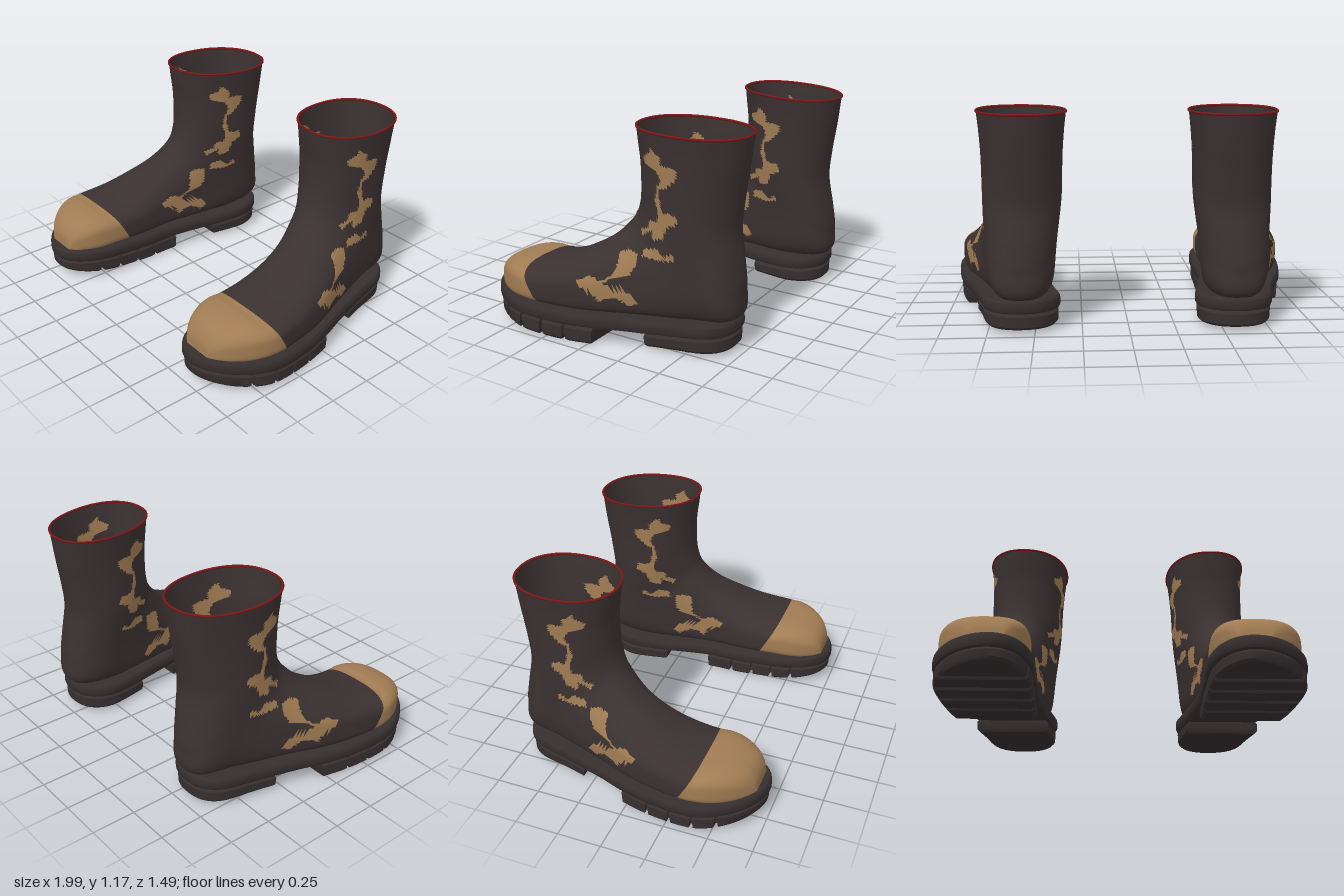
import * as THREE from 'three';
import { toCreasedNormals } from 'three/addons/utils/BufferGeometryUtils.js';

const make = (name, color) => new THREE.MeshStandardMaterial({ name, color, side: THREE.DoubleSide });
const DARK = make('dark leather', 0x3b3131);
const TAN = make('tan', 0xa17c53);
const SOLE = make('dark rubber', 0x362f30);
const RED = make('red trim', 0x7c1717);

// Smooth interpolation through rows of [key, ...values]
function curve(rows) {
  const slope = (i, k) => {
    const a = rows[Math.max(i - 1, 0)], b = rows[Math.min(i + 1, rows.length - 1)];
    return (b[k] - a[k]) / (b[0] - a[0]);
  };
  return t => {
    t = THREE.MathUtils.clamp(t, rows[0][0], rows[rows.length - 1][0]);
    let i = 0;
    while (i < rows.length - 2 && t > rows[i + 1][0]) i++;
    const p = rows[i], q = rows[i + 1], h = q[0] - p[0], u = (t - p[0]) / h;
    const u2 = u * u, u3 = u2 * u;
    return p.slice(1).map((v, n) => v * (2 * u3 - 3 * u2 + 1) + q[n + 1] * (3 * u2 - 2 * u3)
      + h * (slope(i, n + 1) * (u3 - 2 * u2 + u) + slope(i + 1, n + 1) * (u3 - u2)));
  };
}

// Plan of the foot: z, centre x, half width
const plan = curve([[-0.7, 0.575, 0.212], [-0.5, 0.58, 0.213], [-0.2, 0.645, 0.225], [0, 0.695, 0.243],
  [0.2, 0.715, 0.265], [0.4, 0.725, 0.272], [0.6, 0.70, 0.265], [0.74, 0.67, 0.25]]);
const TOE = 0.74, HEEL = -0.717;
function halfWidth(z, inset, roundHeel = true) {
  const f = Math.min(1, Math.max(0, (z - 0.38) / (TOE - inset - 0.38)));
  const b = roundHeel ? Math.min(1, Math.max(0, (-0.48 - z) / (-0.48 - HEEL - inset))) : 0;
  return (plan(z)[1] - inset) * Math.sqrt(1 - f * f) * Math.pow(1 - Math.pow(b, 2.3), 1 / 2.3);
}

// Skins closed rings listed from top to bottom; side -1 mirrors the shape
function loft(rings, side, capTop, capBottom, pick) {
  const n = rings[0].length, pos = [], faces = [[], []];
  rings.forEach(r => r.forEach(p => pos.push(p[0] * side, p[1], p[2])));
  const put = (a, b, c, row) => {
    const mid = k => (pos[a * 3 + k] + pos[b * 3 + k] + pos[c * 3 + k]) / 3;
    const m = pick && pick(row, mid(2), mid(1)) ? 1 : 0;
    faces[m].push(...(side > 0 ? [a, b, c] : [a, c, b]));
  };
  for (let r = 0; r < rings.length - 1; r++) for (let i = 0; i < n; i++) {
    const j = (i + 1) % n, a = r * n, b = a + n;
    put(a + i, b + i, b + j, r);
    put(a + i, b + j, a + j, r);
  }
  const cap = (r, up) => {
    // Bridges opposite points of the ring straight across
    for (let i = 0; i < n / 2 - 1; i++) {
      const a = r * n + i, b = a + 1, d = r * n + n - 1 - i, c = d - 1;
      up ? (put(a, b, c, r), put(a, c, d, r)) : (put(a, c, b, r), put(a, d, c, r));
    }
  };
  if (capTop) cap(0, true);
  if (capBottom) cap(rings.length - 1, false);
  const g = new THREE.BufferGeometry();
  g.setAttribute('position', new THREE.Float32BufferAttribute(pos, 3));
  g.setIndex([...faces[0], ...faces[1]]);
  g.addGroup(0, faces[0].length, 0);
  g.addGroup(faces[0].length, faces[1].length, 1);
  g.computeVertexNormals();
  return g;
}

// Upper sections: index, front edge z y, back edge z y, roundness front and back
const SECTIONS = [
  [0, 0.692, 0.20, 0.692, 0.19, 2.4, 3], [1, 0.68, 0.27, 0.685, 0.17, 2.6, 4],
  [2, 0.64, 0.325, 0.63, 0.17, 2.8, 4.5], [3, 0.56, 0.362, 0.52, 0.17, 3, 5],
  [4, 0.48, 0.375, 0.41, 0.17, 3, 5], [5, 0.41, 0.372, 0.30, 0.165, 2.9, 5],
  [6, 0.28, 0.40, 0.15, 0.16, 2.5, 5], [7, 0.16, 0.445, 0, 0.16, 2.3, 5],
  [8, 0, 0.535, -0.25, 0.16, 2.2, 4.5], [9, -0.09, 0.62, -0.5, 0.16, 2.2, 3.6],
  [10, -0.137, 0.69, -0.715, 0.19, 2.2, 2.7], [11, -0.16, 0.76, -0.735, 0.33, 2.2, 2.4],
  [12, -0.17, 0.83, -0.72, 0.47, 2.2, 2.2], [13, -0.173, 0.92, -0.69, 0.64, 2.2, 2.2],
  [14, -0.17, 1.0, -0.702, 0.80, 2.2, 2.2], [15, -0.158, 1.09, -0.728, 0.98, 2.2, 2.2],
  [16, -0.15, 1.168, -0.745, 1.145, 2.2, 2.2]];
const sectionAt = curve(SECTIONS);
const shaftWidth = curve([[0.3, 0.205], [0.6, 0.214], [0.9, 0.218], [1.05, 0.227], [1.17, 0.24]]);

function upperRing(t, n = 112) {
  const [tz, ty, bz, by, nf, nb] = sectionAt(t), ring = [];
  for (let i = 0; i < n; i++) {
    const a = i / n * Math.PI * 2, c = Math.cos(a), s = Math.sin(a), e = 2 / (c > 0 ? nf : nb);
    const k = (1 + Math.sign(c) * Math.pow(Math.abs(c), e)) / 2;
    const z = bz + (tz - bz) * k, y = by + (ty - by) * k;
    const blend = THREE.MathUtils.smoothstep(y, 0.3, 0.78);
    const w = THREE.MathUtils.lerp(halfWidth(z, 0.025, false), shaftWidth(y)[0], blend);
    const cx = THREE.MathUtils.lerp(plan(z)[0], 0.568 + 0.07 * (z + 0.45), blend);
    ring.push([cx + Math.sign(s) * w * Math.pow(Math.abs(s), e), y, z]);
  }
  return ring;
}

// Camouflage patches on the side, as z, y in hundredths
const PATCHES = [
  [-26, 103, -31, 105, -32, 108, -38, 104, -38, 100, -47, 99, -47, 95, -40, 88, -37, 88, -37, 82, -38, 76, -46, 75,
    -47, 71, -41, 68, -39, 62, -32, 60, -32, 65, -25, 61, -24, 64, -29, 66, -30, 70, -35, 70, -36, 75, -34, 81,
    -35, 88, -38, 92, -35, 97, -27, 99],
  [-28, 55, -35, 56, -39, 52, -44, 55, -44, 51, -37, 50, -27, 51],
  [-14, 51, -19, 53, -24, 52, -24, 45, -21, 40, -13, 38, -8, 35, -7, 32, -17, 33, -22, 30, -26, 26, -22, 23,
    -15, 27, -10, 27, -6, 24, -3, 29, 3, 30, 6, 35, -1, 38, -7, 36, -13, 40, -14, 46]];
function inPatch(z, y) {
  z *= 100; y *= 100;
  return PATCHES.some(p => {
    let inside = false;
    for (let i = 0, j = p.length - 2; i < p.length; j = i, i += 2) {
      if (p[i + 1] > y !== p[j + 1] > y
        && z < (p[j] - p[i]) * (y - p[i + 1]) / (p[j + 1] - p[i + 1]) + p[i]) inside = !inside;
    }
    return inside;
  });
}

// Sole heights along the foot
const step = THREE.MathUtils.smoothstep;
const weltTop = z => 0.168 + 0.032 * step(z, 0.1, 0.74) + 0.014 * step(-z, 0.3, 0.7);
const weltBottom = z => weltTop(z) - 0.078;
const ground = z => z < -0.2 ? 0.022 : 0.06 * Math.pow(Math.max(0, (z - 0.1) / 0.64), 1.6);

// Horizontal outline of the sole between two z values
function soleRing(inset, height, z0 = HEEL, z1 = TOE, n = 40) {
  const a = Math.max(z0, HEEL + inset), b = Math.min(z1, TOE - inset), ring = [];
  for (const s of [1, -1]) for (let i = 0; i <= n; i++) {
    const z = (a + b) / 2 + (b - a) / 2 * Math.cos(Math.PI * i / n) * s;
    ring.push([plan(z)[0] + s * halfWidth(z, inset), height(z), z]);
  }
  return ring;
}

function createBoot(side) {
  const boot = new THREE.Group();
  boot.name = side > 0 ? 'leftBoot' : 'rightBoot';
  const add = (name, geometry, material) => {
    const mesh = new THREE.Mesh(geometry, material);
    mesh.name = name;
    boot.add(mesh);
  };
  const addSolid = (name, rings) => {
    const g = loft(rings, side, true, true);
    g.clearGroups();
    add(name, toCreasedNormals(g, 0.6), SOLE);
  };

  // Leather upper with side patches, and tan toe cap
  const SUB = 10, shaft = [], toe = [];
  for (let i = 160; i >= 5 * SUB; i--) shaft.push(upperRing(i / SUB));
  for (let i = 5 * SUB; i >= 0; i--) toe.push(upperRing(i / SUB));
  add('upper', loft(shaft, side, false, false, (row, z, y) => inPatch(z, y)), [DARK, TAN]);
  const toeGeometry = loft(toe, side, false, true);
  toeGeometry.clearGroups();
  add('toeCap', toeGeometry, TAN);

  // Red trim around the opening
  const rim = upperRing(16, 48).map(p => new THREE.Vector3(p[0] * side, p[1], p[2]));
  add('topTrim', new THREE.TubeGeometry(new THREE.CatmullRomCurve3(rim, true), 96, 0.007, 6, true), RED);

  // Rounded welt
  addSolid('welt', [[0.05, 0], [0.012, 0], [0.002, 0.012], [0, 0.03], [0, 0.055], [0.008, 0.07], [0.035, 0.078]]
    .map(([inset, drop]) => soleRing(inset, z => weltTop(z) - drop)));

  // Recessed tread base under the forefoot
  addSolid('treadBase', [soleRing(0.03, z => weltBottom(z) + 0.01, -0.02),
    soleRing(0.03, z => ground(z) + 0.025, -0.02)]);

  // Tread lugs, front and heel
  const lugs = [[-0.025, 0.13], [0.143, 0.265], [0.278, 0.395], [0.408, 0.52], [0.533, TOE], [HEEL, -0.295]];
  lugs.forEach(([z0, z1], i) => addSolid(i < 5 ? 'treadLug' : 'heelBlock', [
    soleRing(0.03, z => weltBottom(z) + 0.008, z0, z1),
    soleRing(0.01, z => weltBottom(z) - 0.012, z0, z1),
    soleRing(0.012, z => ground(z) + 0.014, z0 + 0.004, z1 - 0.004),
    soleRing(0.024, ground, z0 + 0.012, z1 - 0.012)]));
  return boot;
}

export function createModel() {
  const model = new THREE.Group();
  model.name = 'boots';
  model.add(createBoot(1), createBoot(-1));
  return model;
}
